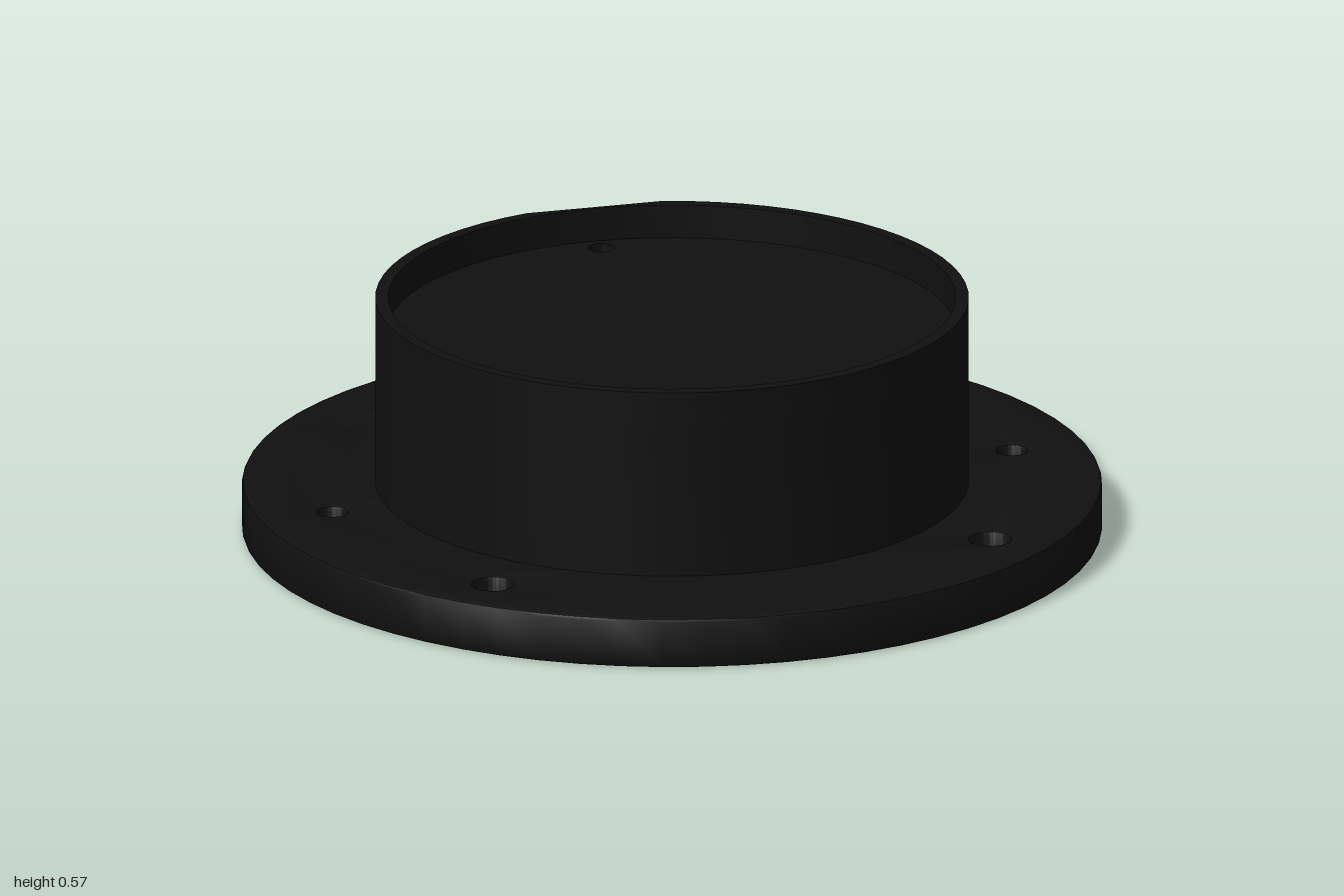
import * as THREE from 'three';
import { toCreasedNormals } from 'three/addons/utils/BufferGeometryUtils.js';

const black = new THREE.MeshStandardMaterial({ color: 0x101010 });
const grey = new THREE.MeshStandardMaterial({ color: 0x9a9a9a });

const circle = (x, z, r) => new THREE.Path().absarc(x, -z, r, 0, Math.PI * 2, true);

// Extrudes a plan outline upwards from y0 to y1, with an optional edge bevel
function plate(shape, y0, y1, bevel = 0) {
  const geo = new THREE.ExtrudeGeometry(shape, {
    depth: y1 - y0 - 2 * bevel, curveSegments: 32, bevelEnabled: bevel > 0,
    bevelSize: bevel, bevelThickness: bevel, bevelOffset: -bevel, bevelSegments: 2,
  });
  geo.rotateX(-Math.PI / 2).translate(0, y0 + bevel, 0);
  return toCreasedNormals(geo, 0.5);
}

// Round hub outline cut flat at the back
function hubOutline(radius, flat) {
  const a = Math.asin(flat / radius);
  const shape = new THREE.Shape();
  shape.absarc(0, 0, radius, Math.PI - a, Math.PI * 2 + a, false);
  shape.closePath();
  return shape;
}

export function createModel() {
  const model = new THREE.Group();
  const add = (name, geo, mat) => {
    const mesh = new THREE.Mesh(geo, mat);
    mesh.name = name;
    model.add(mesh);
    return mesh;
  };

  // Base flange with four bolt holes and two dowel holes
  const disc = new THREE.Shape().absarc(0, 0, 1, 0, Math.PI * 2, false);
  for (const x of [-0.6, 0.6]) for (const z of [-0.6, 0.6]) disc.holes.push(circle(x, z, 0.048));
  for (const x of [-0.82, 0.82]) disc.holes.push(circle(x, 0, 0.035));
  add('flange', plate(disc, 0, 0.12, 0.008), black);

  // One bolt hole is blind: closed at the top
  const plug = new THREE.CylinderGeometry(0.056, 0.05, 0.04, 32);
  add('blindHoleCap', plug, black).position.set(-0.6, 0.1, -0.6);

  // Hub body, with a small vent in its floor, and the raised rim
  const body = hubOutline(0.69, 0.67);
  body.holes.push(circle(0, -0.61, 0.03));
  add('hubBody', plate(body, 0.12, 0.49), black);
  const rim = hubOutline(0.69, 0.67);
  rim.holes.push(circle(0, 0, 0.66));
  add('hubRim', plate(rim, 0.49, 0.57), black);

  // Cable fitting on the rear flat: pad, neck and bevelled hexagonal nut
  const fittingY = 0.32;
  add('fittingPad', new THREE.BoxGeometry(0.28, 0.29, 0.02), grey).position.set(0, fittingY, -0.664);
  const neck = new THREE.CylinderGeometry(0.105, 0.105, 0.07, 32).rotateX(Math.PI / 2);
  add('fittingNeck', neck, grey).position.set(0, fittingY, -0.695);

  const hex = new THREE.Shape();
  for (let i = 0; i < 6; i++) {
    const a = Math.PI / 2 + i * Math.PI / 3;
    hex[i ? 'lineTo' : 'moveTo'](Math.cos(a) * 0.162, Math.sin(a) * 0.162);
  }
  hex.closePath();
  const nut = new THREE.ExtrudeGeometry(hex, {
    depth: 0.055, bevelSize: 0.02, bevelThickness: 0.02, bevelOffset: -0.02, bevelSegments: 4,
  });
  // Square off the inner face, keeping the bevel on the outside only
  const p = nut.attributes.position;
  for (let i = 0; i < p.count; i++) {
    if (p.getZ(i) < 0) {
      const r = Math.hypot(p.getX(i), p.getY(i));
      p.setXYZ(i, p.getX(i) * 0.162 / r, p.getY(i) * 0.162 / r, Math.max(p.getZ(i), -0.015));
    }
  }
  nut.rotateY(Math.PI);
  add('fittingNut', toCreasedNormals(nut, 0.6), grey).position.set(0, fittingY, -0.735);

  return model;
}
